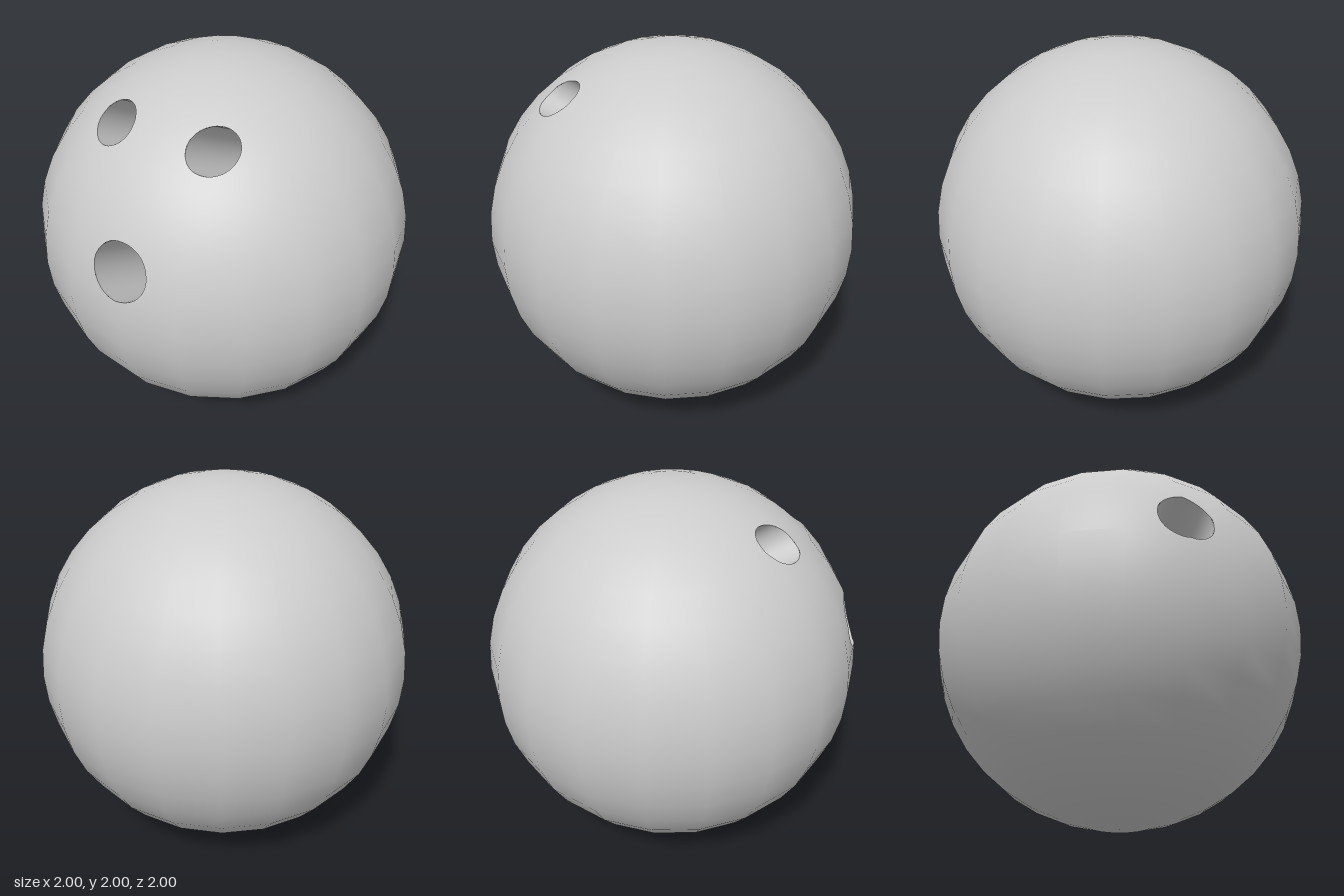
import * as THREE from 'three';

const SEG = 20; // facets around and from pole to pole
const FINE = 14; // subdivision of the facets beside a hole
const TILT = Math.PI / 6;
const AXIS = new THREE.Vector3(0, Math.sin(TILT), Math.cos(TILT)); // all holes are drilled parallel
const HOLES = [
  { name: 'leftFingerHole', center: new THREE.Vector3(0.263, 0.785, 0.54), radius: 0.113 },
  { name: 'rightFingerHole', center: new THREE.Vector3(-0.263, 0.785, 0.54), radius: 0.113 },
  { name: 'thumbHole', center: new THREE.Vector3(0, 0.283, 0.95), radius: 0.145 },
];
const DEPTH = 0.7;

// Corner of the faceted unit sphere
function corner(i, j) {
  return new THREE.Vector3().setFromSphericalCoords(1, (j * Math.PI) / SEG, (i * 2 * Math.PI) / SEG);
}

// Facets as corner quads (top left, bottom left, bottom right, top right) with their planes
const facets = [];
for (let j = 0; j < SEG; j++) {
  for (let i = 0; i < SEG; i++) {
    const quad = [corner(i, j), corner(i, j + 1), corner(i + 1, j + 1), corner(i + 1, j)];
    const normal = quad[2].clone().sub(quad[0]).cross(quad[3].clone().sub(quad[1])).normalize();
    facets.push({ quad, normal, offset: normal.dot(quad[0]) });
  }
}

// Slide a point along the drilling axis until it lies on the faceted surface
function slideToSurface(p) {
  let t = Infinity;
  for (const { normal, offset } of facets) {
    const slope = normal.dot(AXIS);
    if (slope > 1e-6) t = Math.min(t, (offset - normal.dot(p)) / slope);
  }
  return p.addScaledVector(AXIS, t);
}

// Offset of a point from a hole's axis
function offAxis(p, hole) {
  const d = p.clone().sub(hole.center);
  return d.addScaledVector(AXIS, -d.dot(AXIS));
}

// Ball shell: points inside a hole move out to its rim, triangles wholly inside are left out
function shellGeometry() {
  const positions = [];
  const place = (p) => {
    const hole = p.dot(AXIS) > 0 && HOLES.find((h) => offAxis(p, h).length() < h.radius);
    if (!hole) return { p, hole: null };
    const rim = offAxis(p, hole);
    if (rim.length() < 1e-6) rim.set(1, 0, 0);
    return { p: slideToSurface(rim.setLength(hole.radius).add(hole.center)), hole };
  };
  const addTriangle = (a, b, c) => {
    if (a.hole && a.hole === b.hole && a.hole === c.hole) return;
    for (const v of [a, b, c]) positions.push(v.p.x, v.p.y, v.p.z);
  };
  for (const { quad, normal } of facets) {
    const near = HOLES.some((h) => normal.distanceTo(h.center) < h.radius + 0.35);
    const n = near ? FINE : 1;
    const grid = [];
    for (let v = 0; v <= n; v++) {
      for (let u = 0; u <= n; u++) {
        const top = quad[0].clone().lerp(quad[3], u / n);
        const bottom = quad[1].clone().lerp(quad[2], u / n);
        grid.push(place(top.lerp(bottom, v / n)));
      }
    }
    for (let v = 0; v < n; v++) {
      for (let u = 0; u < n; u++) {
        const k = v * (n + 1) + u;
        addTriangle(grid[k], grid[k + n + 1], grid[k + n + 2]);
        addTriangle(grid[k], grid[k + n + 2], grid[k + 1]);
      }
    }
  }
  const geometry = new THREE.BufferGeometry();
  geometry.setAttribute('position', new THREE.Float32BufferAttribute(positions, 3));
  // Smooth normals point straight out from the centre
  geometry.setAttribute('normal', new THREE.Float32BufferAttribute(positions, 3));
  geometry.normalizeNormals();
  return geometry;
}

// Hole lining: an open tube whose upper end follows the surface, closed by a flat floor
function createHole(hole, material) {
  const group = new THREE.Group();
  group.name = hole.name;
  const mouth = slideToSurface(hole.center.clone());
  const floorCenter = mouth.clone().addScaledVector(AXIS, -DEPTH);

  const wall = new THREE.CylinderGeometry(hole.radius, hole.radius, DEPTH, 48, 1, true);
  wall.translate(0, DEPTH / 2, 0).rotateX(Math.PI / 2 - TILT);
  wall.translate(floorCenter.x, floorCenter.y, floorCenter.z);
  const pos = wall.attributes.position;
  const p = new THREE.Vector3();
  for (let i = 0; i <= 48; i++) {
    slideToSurface(p.fromBufferAttribute(pos, i));
    pos.setXYZ(i, p.x, p.y, p.z);
  }
  const wallMesh = new THREE.Mesh(wall, material);
  wallMesh.name = 'holeWall';

  const floor = new THREE.CircleGeometry(hole.radius, 48).rotateX(-TILT);
  floor.translate(floorCenter.x, floorCenter.y, floorCenter.z);
  const floorMesh = new THREE.Mesh(floor, material);
  floorMesh.name = 'holeFloor';

  group.add(wallMesh, floorMesh);
  return group;
}

export function createModel() {
  const model = new THREE.Group();
  model.name = 'bowlingBall';
  const material = new THREE.MeshStandardMaterial({ color: 0xcccccc });
  const lining = new THREE.MeshStandardMaterial({ color: 0xcccccc, side: THREE.DoubleSide });

  const ball = new THREE.Group();
  ball.name = 'ball';
  ball.position.y = 1;
  const shell = new THREE.Mesh(shellGeometry(), material);
  shell.name = 'shell';
  ball.add(shell);
  for (const hole of HOLES) ball.add(createHole(hole, lining));
  model.add(ball);
  return model;
}
